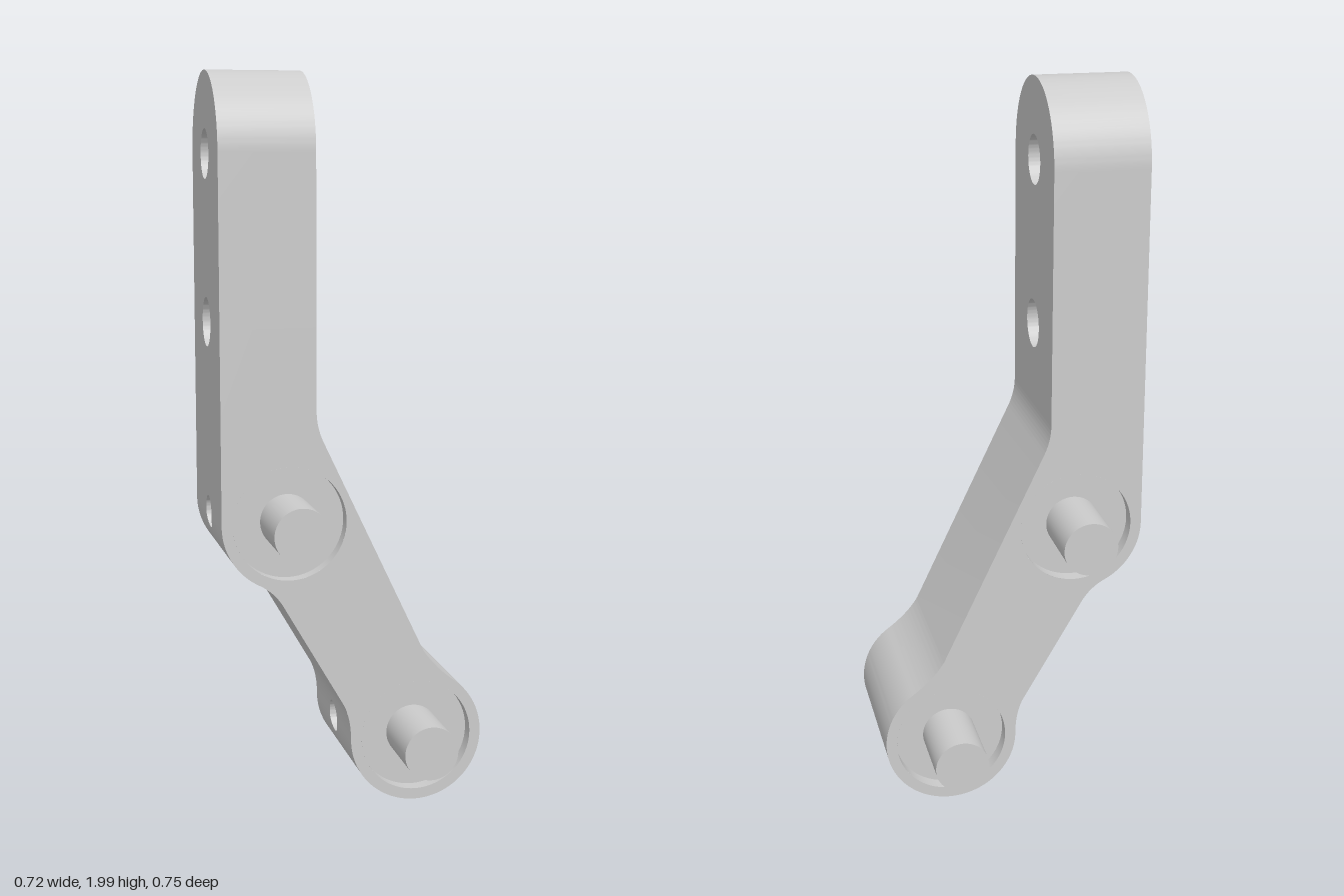
import * as THREE from 'three';
import { toCreasedNormals } from 'three/addons/utils/BufferGeometryUtils.js';

const HALF = 0.215;                  // half depth of the arm
const HUB_R = 0.185, BORE_R = 0.155, BORE_DEPTH = 0.04;
const PIN_R = 0.074, PIN_HALF = 0.373;
const SCREW_R = 0.045, BAND = 0.08;  // set-screw hole and the wall band around it
const JOIN_Y = 1.1;                  // where the bent link meets the upright
const HUBS = [{ name: 'upper', x: -0.178, y: 0.805 }, { name: 'lower', x: 0.175, y: 0.19 }];

const circle = (x, y, r) => new THREE.Path().absarc(x, y, r, 0, Math.PI * 2, true);

// Side outline of the bent link, counterclockwise
function linkShape() {
  const [a, b] = HUBS;
  const s = new THREE.Shape();
  s.moveTo(-0.363, JOIN_Y);
  s.lineTo(-0.363, a.y);
  s.absarc(a.x, a.y, HUB_R, Math.PI, 4.229, false);
  s.quadraticCurveTo(-0.218, 0.618, -0.193, 0.571);
  s.lineTo(-0.03, 0.29);
  s.quadraticCurveTo(-0.01, 0.25, -0.01, b.y);
  s.absarc(b.x, b.y, HUB_R, Math.PI, 0.959 + Math.PI * 2, false);
  s.quadraticCurveTo(0.222, 0.385, 0.193, 0.434);
  s.lineTo(-0.085, 1.02);
  s.quadraticCurveTo(-0.104, 1.06, -0.105, JOIN_Y);
  return s;
}

// Side wall of the link, with a round set-screw hole in the -x side of each hub
function linkWall(shape) {
  const pos = [];
  const quad = (a, b, c, d) => pos.push(...a, ...b, ...c, ...a, ...c, ...d);
  const pts = shape.getPoints(40);

  // Split descending segments at the edges of the hole bands
  const cuts = HUBS.flatMap(h => [h.y + BAND, h.y - BAND]);
  const line = [pts[0]];
  for (let i = 1; i < pts.length; i++) {
    const p = pts[i - 1], q = pts[i];
    for (const y of cuts) {
      if (p.y > y && q.y < y) line.push(p.clone().lerp(q, (p.y - y) / (p.y - q.y)));
    }
    line.push(q);
  }

  // Plain strips outside the bands
  for (let i = 1; i < line.length; i++) {
    const p = line[i - 1], q = line[i];
    if (p.distanceTo(q) < 1e-6) continue;
    const mid = (p.y + q.y) / 2;
    if (q.y < p.y && HUBS.some(h => Math.abs(mid - h.y) < BAND)) continue;
    quad([p.x, p.y, HALF], [p.x, p.y, -HALF], [q.x, q.y, -HALF], [q.x, q.y, HALF]);
  }

  // x of the -x side at a given height
  const sideX = y => {
    for (let i = 1; i < line.length; i++) {
      const p = line[i - 1], q = line[i];
      if (p.y > q.y && y <= p.y + 1e-6 && y >= q.y - 1e-6) {
        return THREE.MathUtils.lerp(p.x, q.x, (p.y - y) / (p.y - q.y));
      }
    }
    return line[0].x;
  };

  // Bands: rings blending from the hole rim to a rectangle, plus the hole's bore
  const N = 64, ROWS = 8;
  for (const h of HUBS) {
    const point = (row, i) => {
      const t = (i / N) * Math.PI * 2, c = Math.cos(t), s = Math.sin(t);
      const m = Math.max(Math.abs(c), Math.abs(s));
      const k = Math.max(row, 0) / ROWS;
      const y = h.y + THREE.MathUtils.lerp(SCREW_R * s, BAND * s / m, k);
      const z = THREE.MathUtils.lerp(SCREW_R * c, HALF * c / m, k);
      return [row < 0 ? h.x : sideX(y), y, z];
    };
    for (let row = -1; row < ROWS; row++) {
      for (let i = 0; i < N; i++) {
        quad(point(row, i), point(row + 1, i), point(row + 1, i + 1), point(row, i + 1));
      }
    }
  }
  const g = new THREE.BufferGeometry();
  g.setAttribute('position', new THREE.Float32BufferAttribute(pos, 3));
  return toCreasedNormals(g, 0.6);
}

// Upright bar with a rounded top and two through holes, extruded along x
function uprightGeometry() {
  const s = new THREE.Shape();
  s.moveTo(-HALF, JOIN_Y);
  s.lineTo(HALF, JOIN_Y);
  s.lineTo(HALF, 2 - HALF);
  s.absarc(0, 2 - HALF, HALF, 0, Math.PI, false);
  s.holes.push(circle(0, 1.78, 0.067), circle(0, 1.33, 0.067));
  const g = new THREE.ExtrudeGeometry(s, { depth: 0.258, bevelEnabled: false, curveSegments: 40 });
  g.rotateY(Math.PI / 2).translate(-0.363, 0, 0);
  return toCreasedNormals(g, 0.6);
}

export function createModel() {
  const model = new THREE.Group();
  model.name = 'bentArm';
  const grey = new THREE.MeshStandardMaterial({ color: 0xcccccc });
  const greyThin = new THREE.MeshStandardMaterial({ color: 0xcccccc, side: THREE.DoubleSide });
  const add = (name, geometry, material = grey) => {
    const mesh = new THREE.Mesh(geometry, material);
    mesh.name = name;
    model.add(mesh);
    return mesh;
  };

  add('upright', uprightGeometry());

  const shape = linkShape();
  add('linkWall', linkWall(shape), greyThin);

  // Flat sides of the link, opened for the counterbores
  shape.holes = HUBS.map(h => circle(h.x, h.y, BORE_R));
  const face = new THREE.ShapeGeometry(shape, 40);
  const backFace = face.clone();
  backFace.index.array.reverse();
  backFace.computeVertexNormals();
  add('frontFace', face).position.z = HALF;
  add('backFace', backFace).position.z = -HALF;

  for (const h of HUBS) {
    // Pin through the hub
    const pin = new THREE.CylinderGeometry(PIN_R, PIN_R, PIN_HALF * 2, 48).rotateX(Math.PI / 2);
    add(h.name + 'Pin', pin).position.set(h.x, h.y, 0);

    // Shallow counterbore on each side
    for (const side of [1, -1]) {
      const end = side > 0 ? 'Front' : 'Back';
      const rim = new THREE.CylinderGeometry(BORE_R, BORE_R, BORE_DEPTH, 64, 1, true).rotateX(Math.PI / 2);
      add(h.name + end + 'BoreRim', rim, greyThin)
        .position.set(h.x, h.y, side * (HALF - BORE_DEPTH / 2));
      const floor = new THREE.RingGeometry(PIN_R, BORE_R, 64);
      if (side < 0) floor.rotateY(Math.PI);
      add(h.name + end + 'BoreFloor', floor)
        .position.set(h.x, h.y, side * (HALF - BORE_DEPTH));
    }
  }
  return model;
}
